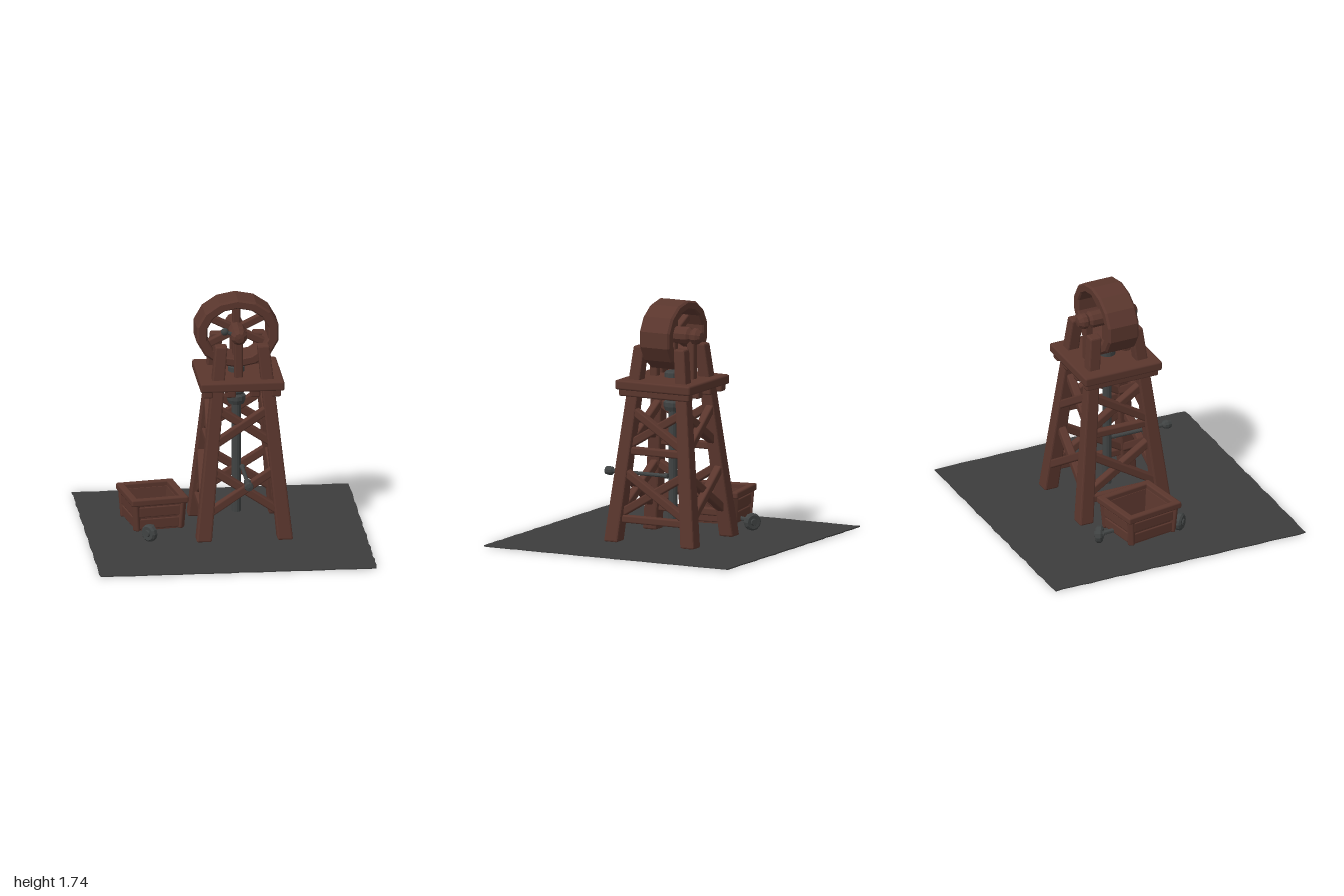
import * as THREE from 'three';
import { RoundedBoxGeometry } from 'three/addons/geometries/RoundedBoxGeometry.js';

const wood = new THREE.MeshStandardMaterial({ name: 'brown wood', color: 0x5a362d });
const iron = new THREE.MeshStandardMaterial({ name: 'dark iron', color: 0x404343 });
const earth = new THREE.MeshStandardMaterial({ name: 'dark ground', color: 0x3d3d3d });

const vec = (x, y, z) => new THREE.Vector3(x, y, z);

function add(parent, name, geometry, material, x = 0, y = 0, z = 0) {
  const mesh = new THREE.Mesh(geometry, material);
  mesh.name = name;
  mesh.position.set(x, y, z);
  parent.add(mesh);
  return mesh;
}

const block = (w, h, d, r = 0.012) => new RoundedBoxGeometry(w, h, d, 1, r);

// Square beam between two points
function beam(parent, name, a, b, w, material = wood) {
  const mesh = new THREE.Mesh(block(w, w, a.distanceTo(b)), material);
  mesh.name = name;
  mesh.position.copy(a).add(b).multiplyScalar(0.5);
  mesh.lookAt(b);
  parent.add(mesh);
}

// Turned shape from [radius, height] pairs, with facets
function turned(points, sides) {
  const g = new THREE.LatheGeometry(points.map(p => new THREE.Vector2(p[0], p[1])), sides).toNonIndexed();
  g.computeVertexNormals();
  return g;
}

// Half spread of the leg centres at height y
const halfX = y => 0.293 - 0.1 * y;
const halfZ = y => 0.312 - 0.105 * y;

function buildTower() {
  const tower = new THREE.Group();
  tower.name = 'tower';
  tower.position.set(0.115, 0, -0.062);

  // Leaning legs that pass up through the platform
  for (const sx of [-1, 1]) for (const sz of [-1, 1]) {
    const g = block(0.105, 1.41, 0.105);
    const p = g.attributes.position;
    for (let i = 0; i < p.count; i++) {
      const y = p.getY(i) + 0.718;
      const taper = 1.06 - 0.17 * y;
      p.setXYZ(i, p.getX(i) * taper + sx * halfX(y), y, p.getZ(i) * taper + sz * halfZ(y));
    }
    g.computeVertexNormals();
    add(tower, 'leg', g, wood);
  }

  // Crossed braces on all four sides
  for (const [low, high] of [[0.2, 0.53], [0.7, 0.97]]) {
    for (const s of [-1, 1]) for (const t of [-1, 1]) {
      const nudge = t * 0.012;
      beam(tower, 'crossBrace', vec(-t * halfX(low), low, s * halfZ(low) + nudge),
        vec(t * halfX(high), high, s * halfZ(high) + nudge), 0.06);
      beam(tower, 'crossBrace', vec(s * halfX(low) + nudge, low, -t * halfZ(low)),
        vec(s * halfX(high) + nudge, high, t * halfZ(high)), 0.06);
    }
  }
  // Level rails on the two sides
  for (const y of [0.18, 0.67]) for (const s of [-1, 1])
    beam(tower, 'sideRail', vec(s * halfX(y), y, -halfZ(y)), vec(s * halfX(y), y, halfZ(y)), 0.055);

  // Platform on joists
  add(tower, 'platform', block(0.605, 0.07, 0.61, 0.015), wood, -0.01, 1.147, 0);
  for (const x of [-0.255, -0.09, 0.085, 0.235])
    add(tower, 'joist', block(0.07, 0.055, 0.57), wood, x, 1.092, 0);
  return tower;
}

function buildWheel() {
  const wheel = new THREE.Group();
  wheel.name = 'windingWheel';
  wheel.position.set(0.09, 1.49, -0.065);

  // Broad rim, slightly wider than tall
  const rim = turned([[0.225, -0.11], [0.235, -0.121], [0.287, -0.121], [0.302, -0.106],
    [0.302, 0.106], [0.287, 0.121], [0.235, 0.121], [0.225, 0.11], [0.225, -0.11]], 14);
  rim.rotateX(Math.PI / 2).scale(1, 0.84, 1);
  add(wheel, 'rim', rim, wood);

  // Spokes
  for (let i = 0; i < 6; i++) {
    const a = Math.PI / 2 + i * Math.PI / 3;
    beam(wheel, 'spoke', vec(0, 0, 0), vec(Math.cos(a) * 0.24, Math.sin(a) * 0.205, 0), 0.055);
  }
  // Hanger strut from axle to platform, on both faces
  for (const z of [-0.15, 0.15])
    beam(wheel, 'hanger', vec(0, 0, z), vec(0, -0.32, z), 0.06);

  // Axle with knobbed ends
  const axle = turned([[0, -0.235], [0.035, -0.23], [0.058, -0.2], [0.06, -0.17], [0.045, -0.15], [0.063, -0.13],
    [0.063, 0.13], [0.045, 0.15], [0.06, 0.17], [0.058, 0.2], [0.035, 0.23], [0, 0.235]], 10);
  axle.rotateX(Math.PI / 2);
  add(wheel, 'axle', axle, wood);

  // Small iron crank
  beam(wheel, 'crankArm', vec(-0.1, 0.035, 0.165), vec(0.01, -0.005, 0.165), 0.026, iron);
  add(wheel, 'crankKnob', new THREE.IcosahedronGeometry(0.028, 1), iron, -0.1, 0.035, 0.165);
  return wheel;
}

function buildPump() {
  const pump = new THREE.Group();
  pump.name = 'pump';

  // Drill pipe with stepped collars
  add(pump, 'pipe', turned([[0, 0.13], [0.033, 0.13], [0.033, 0.935], [0.056, 0.94], [0.067, 0.97], [0.067, 1.0],
    [0.052, 1.015], [0.06, 1.03], [0.06, 1.15], [0.06, 1.215], [0.05, 1.225], [0, 1.225]], 12), iron, 0.09, 0, -0.06);

  // Valve lever reaching forward
  const lever = turned([[0, -0.045], [0.02, -0.04], [0.02, -0.015], [0.014, -0.01], [0.014, 0.29], [0.024, 0.305],
    [0.026, 0.335], [0.014, 0.345], [0.014, 0.395], [0.03, 0.41], [0.034, 0.435], [0.028, 0.46], [0, 0.465]], 10);
  lever.rotateX(Math.PI / 2);
  add(pump, 'lever', lever, iron, 0.13, 0.465, 0);
  return pump;
}

function buildCart() {
  const cart = new THREE.Group();
  cart.name = 'cart';
  cart.position.set(-0.51, 0, -0.095);
  cart.rotation.y = 0.16;

  // Hollow tapered tub
  const k = Math.SQRT2;
  const tub = turned([[0, 0.055], [0.165 * k, 0.055], [0.18 * k, 0.26], [0.15 * k, 0.26], [0.13 * k, 0.1], [0, 0.1]], 4);
  tub.rotateY(Math.PI / 4).scale(1, 1, 1.1);
  add(cart, 'tub', tub, wood);

  // Rim boards, corner posts and side slats
  for (const s of [-1, 1]) {
    add(cart, 'rimBoard', block(0.055, 0.05, 0.455), wood, s * 0.182, 0.272, 0);
    add(cart, 'rimBoard', block(0.42, 0.05, 0.055), wood, 0, 0.272, s * 0.2);
    for (const t of [-1, 1])
      beam(cart, 'cornerPost', vec(s * 0.158, 0.055, t * 0.175), vec(s * 0.172, 0.26, t * 0.19), 0.05);
    for (const y of [0.105, 0.195]) {
      const out = 0.161 + y * 0.075;
      add(cart, 'slat', block(0.022, 0.075, 0.34, 0.008), wood, s * out, y, 0);
      add(cart, 'slat', block(0.3, 0.075, 0.022, 0.008), wood, 0, y, s * (out * 1.1));
    }
  }
  return cart;
}

// Wheel with a hub, turned outward on a short axle
function buildCaster(x, z, angle, inner) {
  const caster = new THREE.Group();
  caster.name = 'cartWheel';
  caster.position.set(x, 0.068, z);
  const disc = new THREE.Group();
  disc.name = 'disc';
  disc.rotation.y = angle;
  caster.add(disc);
  const tyre = turned([[0, -0.034], [0.022, -0.034], [0.026, -0.024], [0.05, -0.026], [0.063, -0.014], [0.063, 0.014],
    [0.05, 0.026], [0.026, 0.024], [0.022, 0.034], [0, 0.034]], 12);
  tyre.rotateZ(Math.PI / 2);
  add(disc, 'tyre', tyre, iron);
  beam(caster, 'axleArm', vec(0, 0, 0), inner, 0.03, iron);
  return caster;
}

// Ground sheet with ragged edges
function buildGround() {
  const points = [];
  const n = 28;
  for (let side = 0; side < 4; side++) {
    for (let i = 0; i < n; i++) {
      const t = -1 + 2 * i / n;
      const inset = 1 - 0.006 * (1 + Math.sin(i * 2.3 + side * 1.7) * Math.cos(i * 0.9));
      const a = side * Math.PI / 2;
      const u = Math.max(t, -0.99);
      points.push(new THREE.Vector2(u * Math.cos(a) + inset * Math.sin(a), u * Math.sin(a) - inset * Math.cos(a)));
    }
  }
  const g = new THREE.ExtrudeGeometry(new THREE.Shape(points), { depth: 0.008, bevelEnabled: false });
  g.rotateX(-Math.PI / 2);
  return g;
}

export function createModel() {
  const model = new THREE.Group();
  model.name = 'mineHeadframe';
  add(model, 'ground', buildGround(), earth);
  model.add(buildTower(), buildWheel(), buildPump(), buildCart());
  model.add(buildCaster(-0.56, 0.205, 0.75, vec(0.04, 0.02, -0.13)));
  model.add(buildCaster(-0.48, -0.395, 1.0, vec(-0.02, 0.02, 0.13)));
  return model;
}
